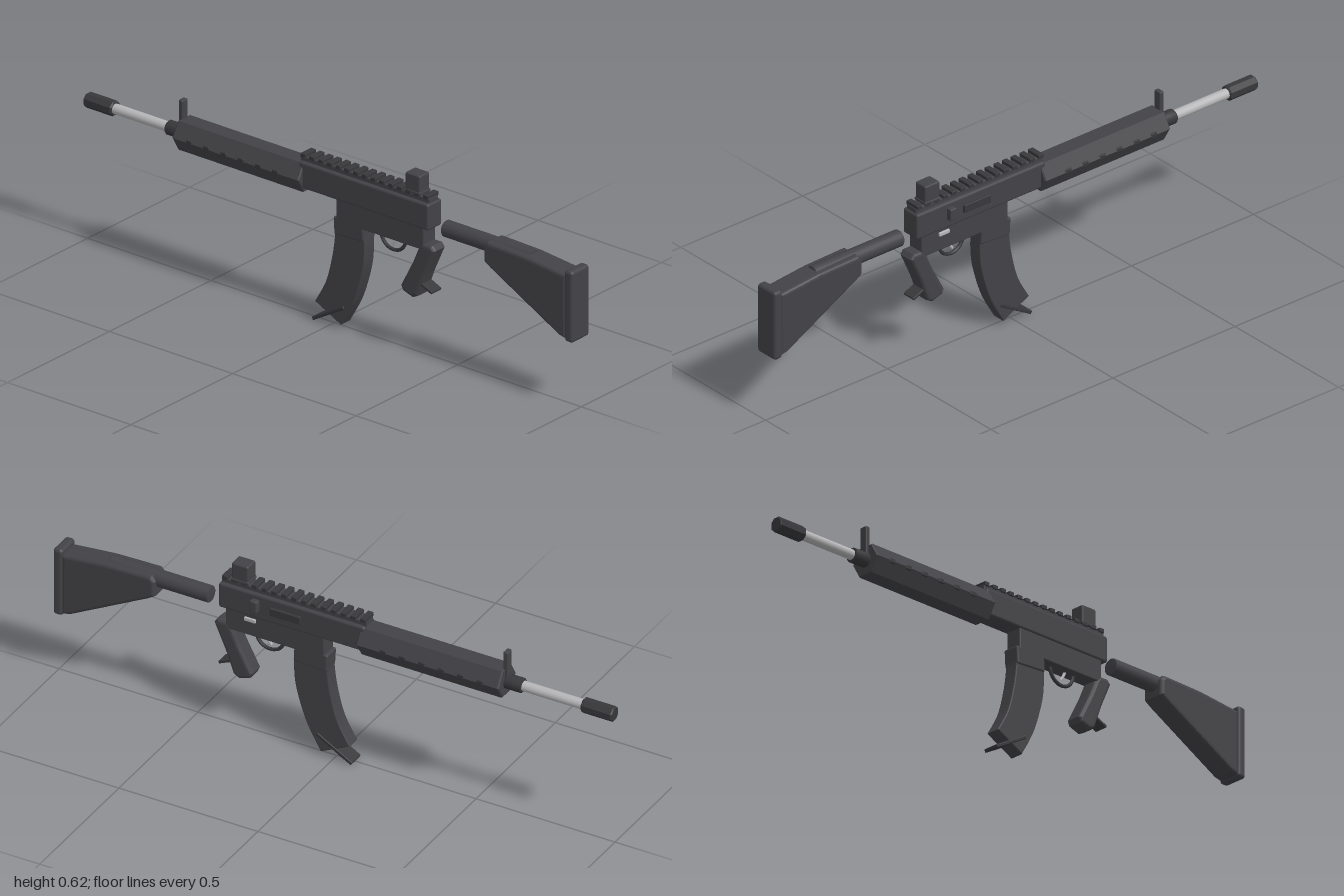
import * as THREE from 'three';
import { RoundedBoxGeometry } from 'three/addons/geometries/RoundedBoxGeometry.js';

const material = (name, color) => {
  const m = new THREE.MeshStandardMaterial({ color });
  m.name = name;
  return m;
};

export function createModel() {
  const model = new THREE.Group();
  const body = material('dark grey', 0x434347);
  const dark = material('charcoal', 0x38383b);
  const steel = material('light steel', 0xb6b6b8);

  const add = (name, geometry, mat, x = 0, y = 0, z = 0, tilt = 0) => {
    const mesh = new THREE.Mesh(geometry, mat);
    mesh.name = name;
    mesh.position.set(x, y, z);
    mesh.rotation.x = tilt;
    model.add(mesh);
    return mesh;
  };

  // Rounded block given by its size and centre
  const block = (name, w, h, d, x, y, z, mat = body, r = 0.004, tilt = 0) =>
    add(name, new RoundedBoxGeometry(w, h, d, 2, Math.min(r, w / 3, h / 3, d / 3)), mat, x, y, z, tilt);

  // Side outline in (z, y), extruded across x with a bevel inside the outline
  const slab = (name, shape, width, bevel, mat = body) => {
    const g = new THREE.ExtrudeGeometry(shape, {
      depth: width - 2 * bevel, bevelEnabled: true, bevelThickness: bevel,
      bevelSize: bevel, bevelOffset: -bevel, bevelSegments: 3, curveSegments: 10,
    });
    g.translate(0, 0, -(width / 2 - bevel));
    g.rotateY(Math.PI / 2);
    return add(name, g, mat);
  };
  const outline = (points) => new THREE.Shape(points.map(([z, y]) => new THREE.Vector2(-z, y)));

  // Round or faceted part running along z between two ends
  const tube = (name, r, z0, z1, y, mat, sides = 24, chamfer = 0) => {
    const len = Math.abs(z1 - z0), h = len / 2;
    const pts = [[0, -h], [r - chamfer, -h], [r, -h + chamfer], [r, h - chamfer], [r - chamfer, h], [0, h]];
    let g = new THREE.LatheGeometry(pts.map(([a, b]) => new THREE.Vector2(a, b)), sides);
    if (sides < 12) {
      g = g.toNonIndexed();
      g.computeVertexNormals();
    }
    g.rotateY(sides === 6 ? Math.PI / 2 : Math.PI / sides);
    g.rotateX(Math.PI / 2);
    return add(name, g, mat, 0, y, (z0 + z1) / 2);
  };

  // Stock
  slab('stockBody', outline([
    [0.97, 0.462], [0.81, 0.478], [0.65, 0.482], [0.635, 0.465],
    [0.635, 0.412], [0.66, 0.396], [0.94, 0.246], [0.97, 0.24],
  ]), 0.082, 0.012);
  block('buttPad', 0.088, 0.245, 0.034, 0, 0.357, 0.982, body, 0.012);
  tube('bufferTube', 0.028, 0.81, 0.452, 0.46, body, 24, 0.003);

  // Receiver
  block('upperReceiver', 0.07, 0.09, 0.525, 0, 0.492, 0.145, body, 0.008);
  block('lowerReceiver', 0.06, 0.09, 0.355, 0, 0.418, 0.208, body, 0.005);
  block('magazineWell', 0.06, 0.062, 0.12, 0, 0.358, 0.08, body, 0.006, -0.06);

  // Top rail with teeth
  block('railBase', 0.044, 0.018, 0.52, 0, 0.543, 0.142, body, 0.002);
  for (let i = 0; i < 15; i++) {
    block('railTooth', 0.054, 0.014, 0.02, 0, 0.556, 0.39 - i * 0.0355, dark, 0.002);
  }

  // Controls on the left side
  block('ejectionPort', 0.012, 0.028, 0.11, 0.037, 0.493, 0.165, dark, 0.003);
  block('forwardAssist', 0.024, 0.044, 0.026, 0.042, 0.498, 0.273, body, 0.005);
  block('selector', 0.01, 0.014, 0.042, 0.031, 0.433, 0.295, steel, 0.003);

  // Sights
  block('rearSight', 0.05, 0.062, 0.06, 0, 0.589, 0.336, body, 0.006);
  block('rearSightBase', 0.054, 0.01, 0.064, 0, 0.559, 0.336, body, 0.003);
  block('frontSight', 0.028, 0.1, 0.017, 0, 0.545, -0.613, body, 0.004);

  // Hexagonal handguard with raised vents on both sides
  tube('handguard', 0.057, -0.1, -0.612, 0.482, body, 6, 0.004);
  for (const side of [-1, 1]) {
    for (let i = 0; i < 6; i++) {
      block('handguardVent', 0.012, 0.016, 0.024, side * 0.051, 0.483, -0.195 - i * 0.07, dark, 0.003);
    }
  }

  // Barrel
  tube('barrelCollar', 0.025, -0.605, -0.672, 0.482, dark, 12, 0.004);
  tube('barrel', 0.017, -0.66, -0.9, 0.482, steel);
  tube('muzzle', 0.026, -0.888, -1, 0.482, dark, 8, 0.004);

  // Grip with its small base plate
  slab('grip', outline([
    [0.428, 0.38], [0.415, 0.395], [0.375, 0.395], [0.362, 0.375], [0.338, 0.32],
    [0.29, 0.228], [0.298, 0.21], [0.338, 0.197], [0.358, 0.208], [0.388, 0.29],
  ]), 0.062, 0.012);
  block('gripPlate', 0.048, 0.009, 0.09, 0, 0.25, 0.372, dark, 0.002, 0.42);

  // Trigger and guard
  const guard = new THREE.TorusGeometry(0.05, 0.006, 8, 20, Math.PI);
  guard.rotateZ(Math.PI);
  guard.rotateY(Math.PI / 2);
  add('triggerGuard', guard, dark, 0, 0.375, 0.24);
  const triggerPath = new THREE.QuadraticBezierCurve3(
    new THREE.Vector3(0, 0.38, 0.255), new THREE.Vector3(0, 0.36, 0.25), new THREE.Vector3(0, 0.342, 0.235));
  add('trigger', new THREE.TubeGeometry(triggerPath, 8, 0.005, 8), steel);

  // Curved magazine with floor plate
  const v = (z, y) => new THREE.Vector2(-z, y);
  const mag = new THREE.Shape();
  mag.moveTo(-0.14, 0.36);
  mag.splineThru([v(0.142, 0.3), v(0.133, 0.225), v(0.098, 0.115), v(0.045, 0.018)]);
  mag.lineTo(0.06, 0.07);
  mag.splineThru([v(-0.016, 0.15), v(0.008, 0.235), v(0.02, 0.31), v(0.022, 0.36)]);
  slab('magazine', mag, 0.05, 0.004);
  block('magazinePlate', 0.057, 0.012, 0.146, 0, 0.045, -0.004, dark, 0.003, -0.52);

  return model;
}
